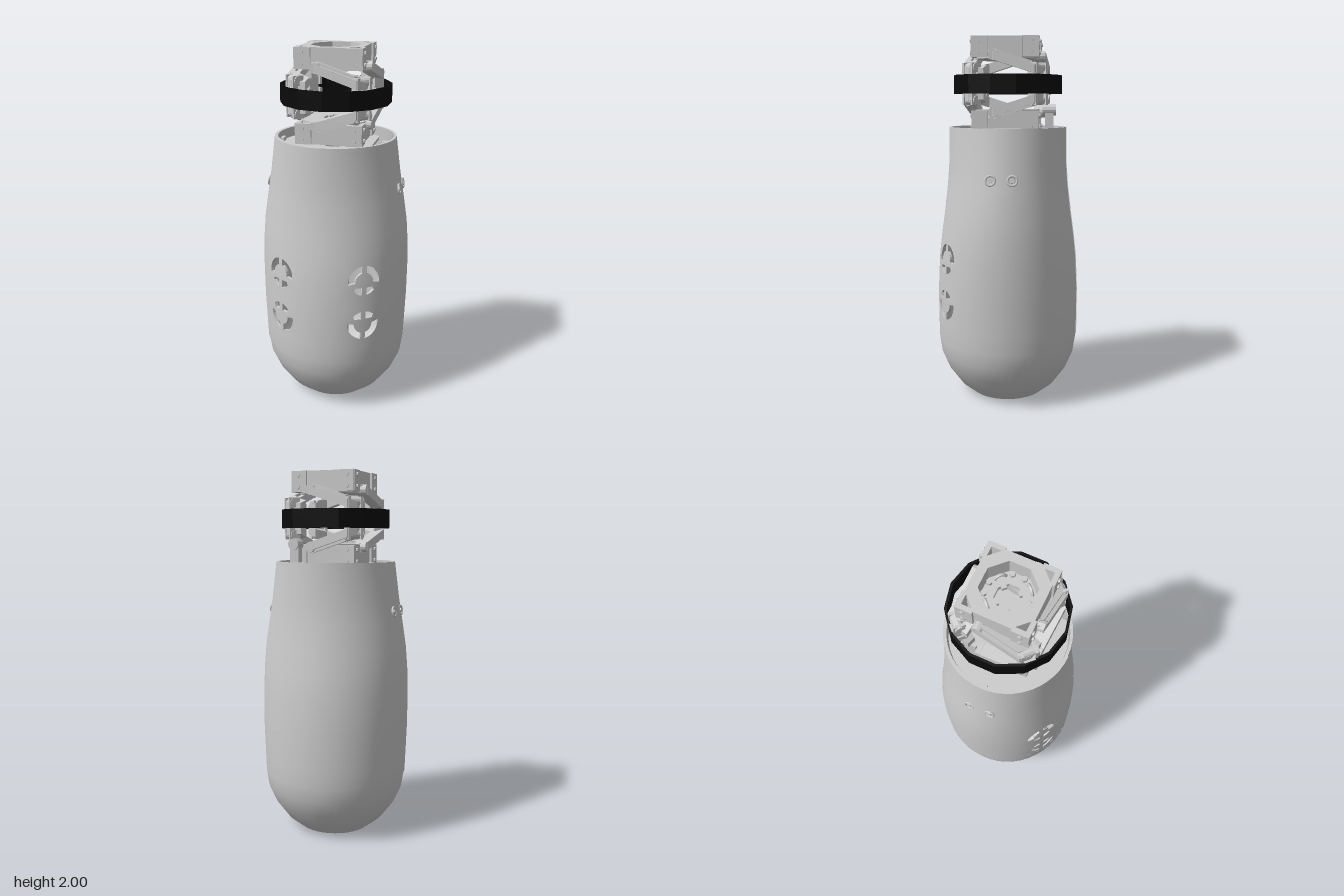
import * as THREE from 'three';

const grey = new THREE.MeshStandardMaterial({ color: 0xcccccc, side: THREE.DoubleSide });
const flat = new THREE.MeshStandardMaterial({ color: 0xcccccc, flatShading: true, side: THREE.DoubleSide });
const black = new THREE.MeshStandardMaterial({ color: 0x0a0a0a, flatShading: true });

function add(parent, name, geo, mat = flat, x = 0, y = 0, z = 0) {
  const m = new THREE.Mesh(geo, mat);
  m.name = name;
  m.position.set(x, y, z);
  parent.add(m);
  return m;
}

// Shell profile: height, half width in x, half depth in z
const profile = [
  [0, 0.205, 0.205], [0.06, 0.28, 0.278], [0.15, 0.348, 0.343], [0.24, 0.388, 0.381], [0.325, 0.4, 0.394],
  [0.42, 0.404, 0.396], [0.6, 0.411, 0.396], [0.8, 0.413, 0.386], [0.93, 0.409, 0.371], [1.05, 0.4, 0.354],
  [1.2, 0.377, 0.336], [1.32, 0.357, 0.327], [1.52, 0.33, 0.324]];
const heights = profile.map(p => p[0]);

function shellPoint(t, y, off) {
  let i = 0;
  while (i < profile.length - 2 && y > profile[i + 1][0]) i++;
  const [a, b] = [profile[i], profile[i + 1]], k = (y - a[0]) / (b[0] - a[0]);
  const rx = a[1] + (b[1] - a[1]) * k + off, rz = a[2] + (b[2] - a[2]) * k + off;
  return new THREE.Vector3(rx * Math.sin(t), y, rz * Math.cos(t));
}

function shellNormal(t, y) {
  const h = 0.04, lo = Math.max(0, y - h), hi = Math.min(1.52, y + h);
  const du = shellPoint(t + h, y, 0).sub(shellPoint(t - h, y, 0));
  return du.cross(shellPoint(t, hi, 0).sub(shellPoint(t, lo, 0))).normalize();
}

// Turns triangles of [angle, height] into a curved skin, outward or inward
function skin(tris, off, inward) {
  const pos = [], nor = [];
  for (const tri of tris) {
    for (const [t, y] of inward ? [tri[0], tri[2], tri[1]] : tri) {
      pos.push(...shellPoint(t, y, off));
      nor.push(...shellNormal(t, y).multiplyScalar(inward ? -1 : 1));
    }
  }
  const g = new THREE.BufferGeometry();
  g.setAttribute('position', new THREE.Float32BufferAttribute(pos, 3));
  g.setAttribute('normal', new THREE.Float32BufferAttribute(nor, 3));
  return g;
}

function gridTris(t0, t1, y0, y1) {
  const ys = heights.filter(y => y >= y0 && y <= y1), n = Math.max(1, Math.round((t1 - t0) / 0.13)), out = [];
  for (let j = 0; j < ys.length - 1; j++) for (let i = 0; i < n; i++) {
    const a = t0 + (t1 - t0) * i / n, b = t0 + (t1 - t0) * (i + 1) / n;
    out.push([[a, ys[j]], [b, ys[j]], [b, ys[j + 1]]], [[a, ys[j]], [b, ys[j + 1]], [a, ys[j + 1]]]);
  }
  return out;
}

// Strip of wall following [angle, height] points between two offsets
function edgeStrip(pts, off0, off1) {
  const pos = [];
  for (let i = 0; i < pts.length - 1; i++) {
    const [a, b, c, d] = [shellPoint(...pts[i], off0), shellPoint(...pts[i + 1], off0),
      shellPoint(...pts[i + 1], off1), shellPoint(...pts[i], off1)];
    for (const p of [a, b, c, a, c, d]) pos.push(...p);
  }
  const g = new THREE.BufferGeometry();
  g.setAttribute('position', new THREE.Float32BufferAttribute(pos, 3));
  g.computeVertexNormals();
  return g;
}

function arcPoints(r, a0, a1, n) {
  return Array.from({ length: n + 1 }, (_, i) => {
    const a = a0 + (a1 - a0) * i / n;
    return new THREE.Vector2(r * Math.cos(a), r * Math.sin(a));
  });
}

// Outlines of the four openings of one vent; up = 1 puts the long slots on top
function ventHoles(cy, up) {
  const holes = [];
  for (const s of [1, -1]) {
    const slot = [...arcPoints(0.088, -0.15, 1.42, 8), ...arcPoints(0.05, 1.3, -0.1, 5)];
    const wedge = [...arcPoints(0.078, -1.4, -0.75, 4), new THREE.Vector2(0.05, -0.034), new THREE.Vector2(0.012, -0.034)];
    for (const h of [slot, wedge]) holes.push(h.map(p => new THREE.Vector2(p.x * s, cy + p.y * up)));
  }
  return holes;
}

function ventTris(centre, holes) {
  const ys = heights.filter(y => y >= 0.42 && y <= 0.93);
  const rect = [...ys.map(y => new THREE.Vector2(0.12, y)), ...[...ys].reverse().map(y => new THREE.Vector2(-0.12, y))];
  const pts = [rect, ...holes].flat().map(p => [centre + p.x / 0.4, p.y]);
  let tris = THREE.ShapeUtils.triangulateShape(rect, holes).map(f => f.map(i => pts[i]));
  const mid = (a, b) => [(a[0] + b[0]) / 2, (a[1] + b[1]) / 2];
  for (let k = 0; k < 2; k++) tris = tris.flatMap(([a, b, c]) => {
    const d = mid(a, b), e = mid(b, c), f = mid(c, a);
    return [[a, d, f], [d, b, e], [f, e, c], [d, e, f]];
  });
  return tris;
}

function makeShell() {
  const g = new THREE.Group(), wall = 0.014, step = 0.004, PI = Math.PI;
  g.name = 'shell';
  const both = (name, tris, off) => {
    add(g, name, skin(tris, off, false), grey);
    add(g, name + 'Lining', skin(tris, -wall, true), grey);
  };
  both('base', gridTris(-PI, PI, 0, 0.325), 0);
  // Two half covers, the one on -x standing slightly proud
  for (const s of [1, -1]) {
    const off = s < 0 ? step : 0;
    const area = (a, b, y0, y1) => s > 0 ? gridTris(a, b, y0, y1) : gridTris(-b, -a, y0, y1);
    const holes = [...ventHoles(0.805, 1), ...ventHoles(0.555, -1)];
    both('halfCover', [...area(0, PI, 0.325, 0.42), ...area(0, 0.3, 0.42, 0.93), ...area(0.9, PI, 0.42, 0.93),
      ...area(0, PI, 0.93, 1.52), ...ventTris(s * 0.6, holes)], off);
    for (const h of holes) {
      add(g, 'ventEdge', edgeStrip([...h, h[0]].map(p => [s * 0.6 + p.x / 0.4, p.y]), off, -wall), flat);
    }
    const arc = y => Array.from({ length: 25 }, (_, i) => [s * PI * i / 24, y]);
    add(g, 'rim', edgeStrip(arc(1.52), off, -wall), flat);
    add(g, 'seam', edgeStrip(arc(0.325), off, -wall), flat);
    // Round side fasteners
    for (const z of [0.06, -0.055]) {
      const f = new THREE.Group();
      f.name = 'sideFastener';
      f.position.set(s * 0.366, 1.255, z);
      f.rotation.z = -s * (PI / 2 - 0.16);
      add(f, 'fastenerRing', new THREE.TorusGeometry(0.025, 0.006, 8, 20).rotateX(PI / 2), grey);
      add(f, 'fastenerHead', new THREE.CylinderGeometry(0.013, 0.013, 0.012, 6), flat);
      g.add(f);
    }
  }
  return g;
}

// Extrudes a plan outline [x, z] upward from y = 0
function plan(pts, height, holeRadius, holeSides = 8) {
  const shape = new THREE.Shape(pts.map(([x, z]) => new THREE.Vector2(x, -z)));
  if (holeRadius) shape.holes.push(new THREE.Path(arcPoints(holeRadius, Math.PI / 8, Math.PI * 17 / 8, holeSides)));
  return new THREE.ExtrudeGeometry(shape, { depth: height, bevelEnabled: false, curveSegments: 16 }).rotateX(-Math.PI / 2);
}

const circle = (r, n) => arcPoints(r, 0, Math.PI * 2, n).slice(0, -1).map(p => [p.x, p.y]);

// Half of the joint above the ring, measured from the ring's centre
function makeJointHalf() {
  const g = new THREE.Group();
  g.name = 'jointHalf';
  const oct = [[0.17, 0.09], [0.09, 0.17], [-0.09, 0.17], [-0.17, 0.09], [-0.17, -0.09], [-0.09, -0.17], [0.09, -0.17], [0.17, -0.09]];
  add(g, 'hub', plan(oct, 0.1, 0.135), flat, 0, 0.15);
  add(g, 'hubFloor', plan(oct, 0.02, 0.068), flat, 0, 0.135);
  const armOutline = [[-0.09, 0.17], [-0.045, 0.15], [0.12, 0.165], [0.165, 0.1], [0.215, 0.11], [0.2, 0.19], [0.16, 0.23], [-0.06, 0.212]];
  for (let i = 0; i < 4; i++) {
    const q = new THREE.Group();
    q.name = 'leg';
    q.rotation.y = i * Math.PI / 2;
    // Sloping crank arm with a raised rib
    const slope = geo => {
      const p = geo.attributes.position;
      for (let k = 0; k < p.count; k++) p.setY(k, p.getY(k) - 0.32 * p.getX(k));
      geo.computeVertexNormals();
      return geo;
    };
    add(q, 'crankArm', slope(plan(armOutline, 0.045)), flat, 0, 0.105);
    add(q, 'armRib', slope(plan([[-0.06, 0.175], [0.125, 0.188], [0.17, 0.14], [0.18, 0.17], [0.145, 0.21], [-0.04, 0.195]], 0.015)), flat, 0, 0.15);
    for (const s of [1, -1]) {
      add(q, 'hubLug', new THREE.BoxGeometry(0.085, 0.11, 0.025), flat, s * 0.135, 0.195, 0.168);
      for (const y of [0.165, 0.225]) {
        add(q, 'lugBolt', new THREE.CylinderGeometry(0.011, 0.011, 0.012, 6).rotateX(Math.PI / 2), flat, s * 0.14, y, 0.183);
      }
      add(q, 'floorBolt', new THREE.CylinderGeometry(0.015, 0.015, 0.02, 6), flat, s * 0.03, 0.162, 0.11);
    }
    add(q, 'hubPivot', new THREE.CylinderGeometry(0.028, 0.028, 0.06, 12).rotateX(Math.PI / 2), flat, -0.06, 0.15, 0.18);
    // Elbow at the diagonal, joining the ring
    const e = new THREE.Group();
    e.name = 'elbow';
    e.rotation.y = Math.PI / 4;
    for (const s of [1, -1]) add(e, 'forkCheek', new THREE.BoxGeometry(0.014, 0.1, 0.06), flat, s * 0.035, 0.06, 0.25);
    add(e, 'elbowPin', new THREE.CylinderGeometry(0.025, 0.025, 0.1, 12).rotateZ(Math.PI / 2), flat, 0, 0.085, 0.25);
    add(e, 'elbowBlock', new THREE.BoxGeometry(0.055, 0.05, 0.05), flat, 0, 0.025, 0.262);
    add(e, 'cableLoop', new THREE.TorusGeometry(0.026, 0.008, 6, 12, Math.PI), flat, 0, 0.155, 0.106);
    add(e, 'floorTab', new THREE.BoxGeometry(0.025, 0.02, 0.02), flat, 0, 0.145, 0.06);
    q.add(e);
    g.add(q);
  }
  return g;
}

export function createModel() {
  const root = new THREE.Group();
  root.name = 'jointedCanister';
  root.add(makeShell());

  // Bottom flange, bolt circle and open core tube
  const line = pts => pts.map(([r, y]) => new THREE.Vector2(r, y));
  add(root, 'bottomFlange', new THREE.LatheGeometry(line([[0.205, 0], [0.115, 0], [0.115, 0.03], [0.1, 0.03]]), 32), flat);
  add(root, 'bottomSocket', new THREE.LatheGeometry(line([[0.1, 0.03], [0.1, 0.1], [0.075, 0.1], [0.075, 1.47]]), 24), grey);
  add(root, 'socketRing', new THREE.TorusGeometry(0.09, 0.012, 8, 24).rotateX(Math.PI / 2), grey, 0, 0.04);
  for (let i = 0; i < 14; i++) {
    const a = i * Math.PI / 7;
    add(root, 'flangeBolt', new THREE.CylinderGeometry(0.014, 0.014, 0.012, 8), flat, 0.16 * Math.cos(a), 0.007, 0.16 * Math.sin(a));
  }

  // Deck under the rim, cut away on one side for the drive parts
  const deck = circle(0.305, 36).map(([x, z]) => x > 0.2 ? [0.2, z] : [x, z]);
  add(root, 'deck', plan(deck, 0.015, 0.08), flat, 0, 1.455);
  for (const z of [-0.13, -0.03, 0.07]) {
    add(root, 'driveBlock', new THREE.BoxGeometry(0.06, 0.12, 0.07), flat, 0.25, 1.38, z);
    add(root, 'driveCap', new THREE.CylinderGeometry(0.022, 0.022, 0.03, 10), flat, 0.25, 1.45, z);
  }
  add(root, 'actuatorPost', new THREE.BoxGeometry(0.05, 0.15, 0.045), flat, 0.13, 1.53, -0.235);
  add(root, 'actuatorHead', new THREE.CylinderGeometry(0.03, 0.03, 0.07, 12).rotateX(Math.PI / 2), flat, 0.13, 1.615, -0.235);
  add(root, 'rimBracket', new THREE.BoxGeometry(0.02, 0.1, 0.05), flat, -0.302, 1.44, 0);

  // Joint: mirrored halves around the dark ring
  const upper = makeJointHalf(), lower = makeJointHalf();
  upper.position.y = lower.position.y = 1.75;
  lower.scale.y = -1;
  upper.name = 'upperJoint';
  lower.name = 'lowerJoint';
  root.add(upper, lower);
  const ring = circle(0.3, 14).map(([x, z]) => new THREE.Vector2(x, z));
  const ringShape = new THREE.Shape(ring);
  ringShape.holes.push(new THREE.Path(ring.map(p => p.clone().multiplyScalar(0.955))));
  const ringGeo = new THREE.ExtrudeGeometry(ringShape, { depth: 0.1, bevelEnabled: false }).rotateX(-Math.PI / 2).rotateY(Math.PI / 14);
  add(root, 'middleRing', ringGeo, black, 0, 1.7);
  return root;
}
